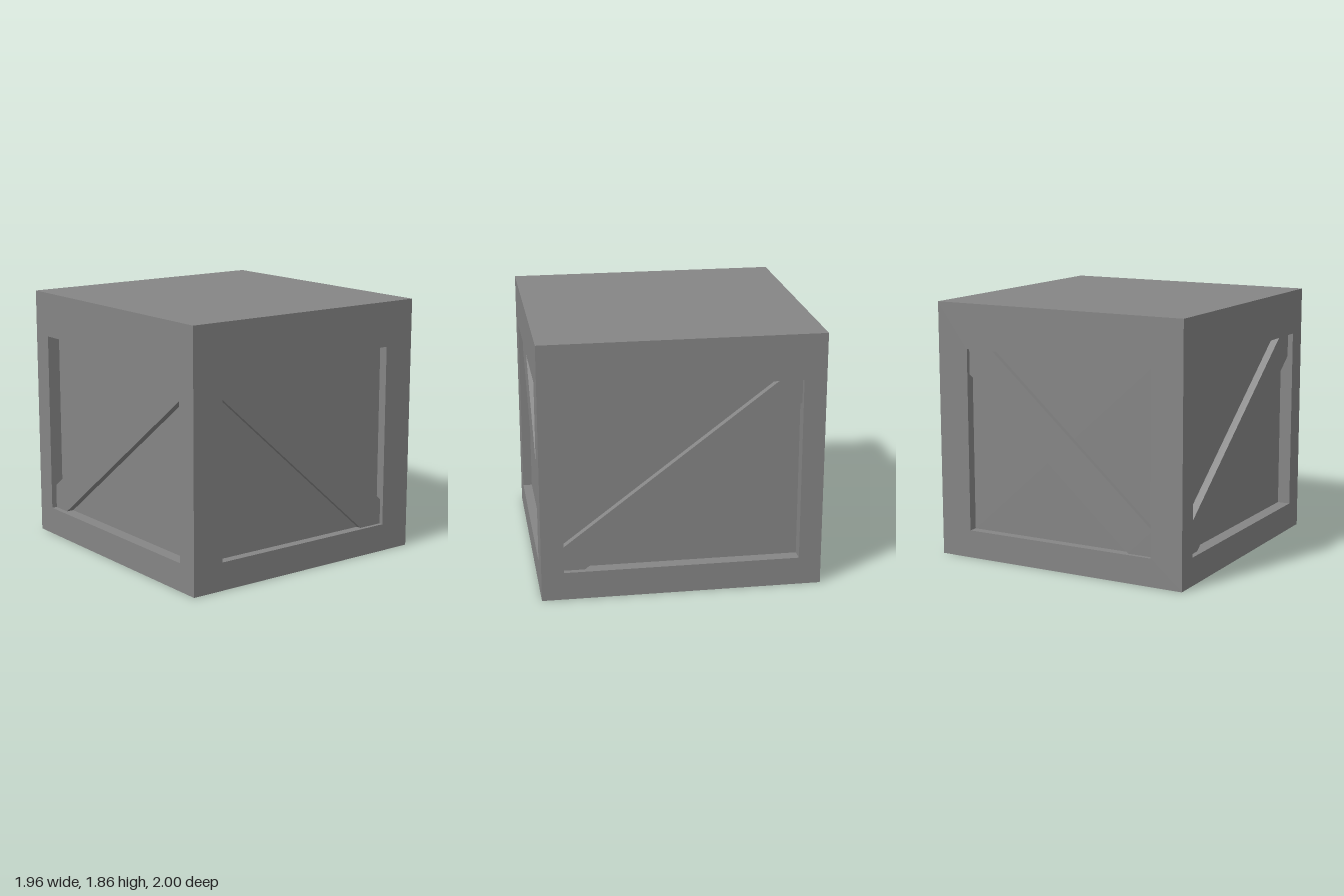
import * as THREE from 'three';

const W = 1.96, H = 1.86, D = 2; // outer size of the crate

const polygon = (points) => new THREE.Shape(points.map(([x, y]) => new THREE.Vector2(x, y)));
const rectangle = (w, h, cy = 0) =>
  [[-w / 2, cy - h / 2], [w / 2, cy - h / 2], [w / 2, cy + h / 2], [-w / 2, cy + h / 2]];

// One framed face looking along +z: rim, sunken panel and diagonal brace.
// dir = 1: brace rises to the right, dir = -1: it rises to the left.
function framedFace(name, material, { w, h, iw, ih, cy = 0, depth, drop, cutX, cutY, dir }) {
  const group = new THREE.Group();
  group.name = name;
  const add = (part, geometry) => {
    const mesh = new THREE.Mesh(geometry, material);
    mesh.name = part;
    group.add(mesh);
    return mesh;
  };

  // rim around the opening
  const rim = polygon(rectangle(w, h));
  rim.holes.push(polygon(rectangle(iw, ih, cy)));
  add('frame', new THREE.ShapeGeometry(rim));

  // sunken panel: a box turned inside out, without its front face
  const recess = new THREE.BoxGeometry(iw, ih, depth);
  const index = Array.from(recess.index.array);
  index.splice(24, 6);
  recess.setIndex(index);
  recess.clearGroups();
  recess.scale(-1, 1, 1);
  recess.computeVertexNormals();
  recess.translate(0, cy, -depth / 2);
  add('recessedPanel', recess);

  // brace from corner to corner, trimmed by the opening
  const x = iw / 2, y = ih / 2;
  const outline = [
    [-x, -y], [-x + cutX, -y], [x, y - cutY],
    [x, y], [x - cutX, y], [-x, -y + cutY],
  ].map(([px, py]) => [px * dir, py + cy]);
  const brace = new THREE.ExtrudeGeometry(polygon(outline), { depth: depth - drop, bevelEnabled: false });
  add('diagonalBrace', brace).position.z = -depth;
  return group;
}

export function createModel() {
  const crate = new THREE.Group();
  crate.name = 'crate';
  const material = new THREE.MeshStandardMaterial({ color: 0x858585 });

  const opening = { h: H, ih: 1.33, cy: 0.868 - H / 2 };
  const frontFace = { ...opening, w: W, iw: 1.48, depth: 0.067, drop: 0.03, cutX: 0.19, cutY: 0.185, dir: -1 };
  const sideFace = { ...opening, w: D, iw: 1.68, depth: 0.095, drop: 0.04, cutX: 0.15, cutY: 0.175, dir: 1 };
  const bottomFace = { w: W, h: D, iw: 1.48, ih: 1.68, depth: 0.07, drop: 0.035, cutX: 0.19, cutY: 0.15, dir: -1 };

  // four walls, opposite ones alike
  const walls = [
    ['frontWall', frontFace, D / 2], ['leftWall', sideFace, W / 2],
    ['backWall', frontFace, D / 2], ['rightWall', sideFace, W / 2],
  ];
  walls.forEach(([name, spec, distance], i) => {
    const wall = framedFace(name, material, spec);
    const angle = i * Math.PI / 2;
    wall.rotation.y = angle;
    wall.position.set(Math.sin(angle) * distance, H / 2, Math.cos(angle) * distance);
    crate.add(wall);
  });

  // underside
  const bottom = framedFace('underside', material, bottomFace);
  bottom.rotation.x = Math.PI / 2;
  crate.add(bottom);

  // plain lid
  const lid = new THREE.Mesh(new THREE.PlaneGeometry(W, D), material);
  lid.name = 'lid';
  lid.rotation.x = -Math.PI / 2;
  lid.position.y = H;
  crate.add(lid);

  return crate;
}
